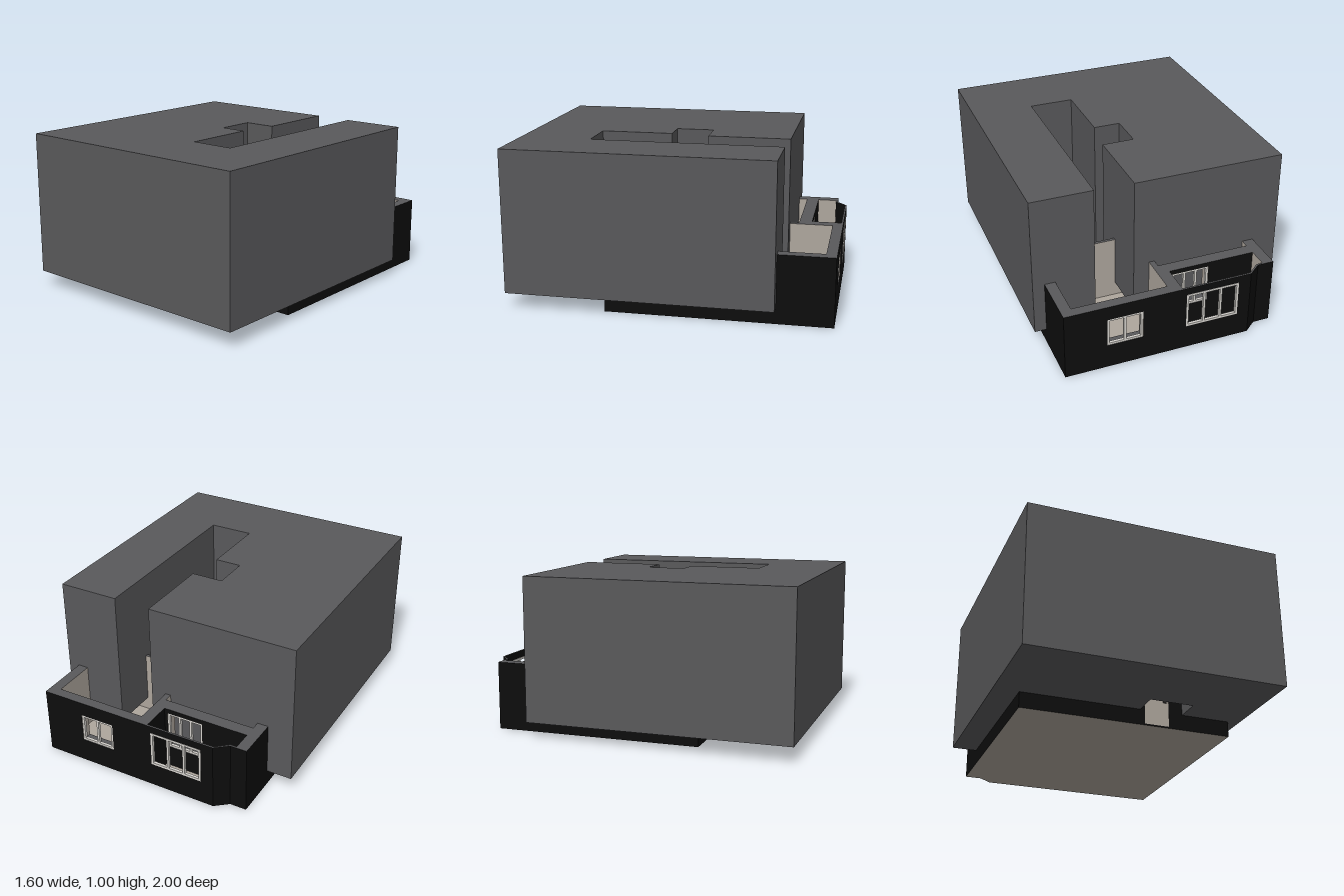
import * as THREE from 'three';
import { mergeGeometries } from 'three/addons/utils/BufferGeometryUtils.js';

const mat = (name, color) => {
  const m = new THREE.MeshStandardMaterial({ color });
  m.name = name;
  return m;
};

// Extrudes an outline of [x, z] points from y0 to y1
function prism(points, y0, y1) {
  const shape = new THREE.Shape(points.map(([x, z]) => new THREE.Vector2(x, -z)));
  return new THREE.ExtrudeGeometry(shape, { depth: y1 - y0, bevelEnabled: false })
    .rotateX(-Math.PI / 2).translate(0, y0, 0);
}

function box(x0, x1, z0, z1, y0, y1) {
  return new THREE.BoxGeometry(x1 - x0, y1 - y0, z1 - z0)
    .translate((x0 + x1) / 2, (y0 + y1) / 2, (z0 + z1) / 2);
}

export function createModel() {
  const group = new THREE.Group();
  const grey = mat('concreteGrey', 0x59595b);
  const black = mat('facadeBlack', 0x0d0d0d);
  const tan = mat('plasterTan', 0xaea69d);
  const pale = mat('tilePale', 0xc8c2bd);
  const white = mat('frameWhite', 0xd6d3ce);
  const metal = mat('handleMetal', 0x4a4744);
  const add = (name, geometry, material) => {
    const mesh = new THREE.Mesh(geometry, material);
    mesh.name = name;
    group.add(mesh);
  };

  // Large surrounding block with a stepped slot through it
  add('surroundingBlock', prism([
    [-0.8, 1], [0.8, 1], [0.8, -0.655], [0.41, -0.655], [0.41, 0.55], [0.13, 0.55],
    [0.13, 0.095], [-0.04, 0.095], [-0.04, -0.145], [0.165, -0.145], [0.165, -0.665], [-0.8, -0.665],
  ], 0.1, 1), grey);

  // Floor slab with dark edges, and the paler tiled rooms
  const F = 0.01, H = 0.43;
  add('floorSlab', prism([
    [-0.64, 0.39], [0.727, 0.39], [0.727, -1], [-0.455, -1], [-0.535, -0.935], [-0.64, -0.935],
  ], 0, F), [tan, black]);
  add('tiledFloor', box(0.365, 0.66, -0.335, 0.14, F, F + 0.004), pale);

  // Wall with one opening: along x at depth z0..z1
  const pierced = (x0, x1, z0, z1, [a, b, c, d]) => [
    box(x0, a, z0, z1, F, H), box(b, x1, z0, z1, F, H),
    box(a, b, z0, z1, d, H), ...(c > F ? [box(a, b, z0, z1, F, c)] : []),
  ];
  const bedWindow = [0.24, 0.465, 0.155, 0.34];
  const bayWindow = [-0.375, -0.035, 0.155, 0.385];
  const innerWindow = [-0.27, -0.03, 0.15, 0.4];
  const entrance = [0.16, 0.32, F, 0.34];

  const walls = [
    box(-0.64, -0.57, -0.935, 0.39, F, H),           // right outer wall
    box(0.66, 0.727, -0.935, 0.39, F, H),            // left outer wall
    ...pierced(-0.57, 0.66, 0.315, 0.39, entrance),  // front wall
    ...pierced(-0.01, 0.727, -1, -0.935, bedWindow), // back wall
    ...pierced(-0.455, -0.01, -1, -0.988, bayWindow),// thin balcony wall
    ...pierced(-0.57, -0.01, -0.8, -0.72, innerWindow),
    box(-0.01, 0.065, -0.935, -0.72, F, H),
    box(0.03, 0.065, -0.72, 0.315, F, H),            // partitions
    box(0.065, 0.66, -0.355, -0.335, F, H),
    box(0.345, 0.365, -0.335, 0.315, F, H),
    box(0.365, 0.66, -0.195, -0.175, F, H),
    box(0.365, 0.66, 0.13, 0.15, F, H),
    prism([[-0.64, -0.935], [-0.535, -0.935], [-0.455, -1], [-0.455, -0.988],
      [-0.53, -0.923], [-0.64, -0.923]], F, H),      // chamfered balcony corner
  ];

  // Sort wall faces into tops, facade and plastered interior
  const merged = mergeGeometries(walls.map((g) => (g.index ? g.toNonIndexed() : g)));
  const pos = merged.attributes.position, nor = merged.attributes.normal;
  const lists = { wallTops: [], outerWallFaces: [], innerWallFaces: [] };
  const isFacade = (x, z) => x < -0.635 || x > 0.722 || z > 0.385 || z < -0.99 || (x < -0.005 && z < -0.79);
  for (let i = 0; i < pos.count; i += 3) {
    const box3 = new THREE.Box3();
    for (let k = 0; k < 3; k++) box3.expandByPoint(new THREE.Vector3().fromBufferAttribute(pos, i + k));
    const c = box3.getCenter(new THREE.Vector3());
    const key = nor.getY(i) > 0.5 ? 'wallTops' : isFacade(c.x, c.z) ? 'outerWallFaces' : 'innerWallFaces';
    for (let k = 0; k < 3; k++) lists[key].push(pos.getX(i + k), pos.getY(i + k), pos.getZ(i + k));
  }
  const wallMats = { wallTops: grey, outerWallFaces: black, innerWallFaces: tan };
  for (const key in lists) {
    const g = new THREE.BufferGeometry();
    g.setAttribute('position', new THREE.Float32BufferAttribute(lists[key], 3));
    g.computeVertexNormals();
    add(key, g, wallMats[key]);
  }

  // Window frames: border plus mullions
  const frame = (name, [a, b, c, d], z, panes, t = 0.014) => {
    const z0 = z - 0.006, z1 = z + 0.012;
    const bars = [box(a, b, z0, z1, c, c + t), box(a, b, z0, z1, d - t, d)];
    for (let i = 0; i <= panes; i++) {
      const x = a + t / 2 + (b - a - t) * i / panes;
      bars.push(box(x - t / 2, x + t / 2, z0, z1, c + t, d - t));
    }
    add(name, mergeGeometries(bars), white);
  };
  frame('bedroomWindow', bedWindow, -0.99, 2);
  frame('balconyWindow', bayWindow, -0.996, 3);
  frame('innerWindow', innerWindow, -0.79, 3);

  // Entrance door and interior doors with handles
  add('entranceDoor', box(0.16, 0.32, 0.375, 0.388, F, 0.34), tan);
  add('entranceHandle', box(0.285, 0.305, 0.388, 0.398, 0.165, 0.175), metal);
  for (const [x0, x1, z0, z1, hz] of [
    [0.341, 0.369, -0.33, -0.205, -0.225],
    [0.341, 0.369, 0.015, 0.125, 0.035],
    [0.026, 0.069, -0.12, 0.05, 0.035],
  ]) {
    add('interiorDoor', box(x0, x1, z0, z1, F, 0.34), white);
    add('doorHandle', box(x0 - 0.01, x1 + 0.01, hz - 0.012, hz + 0.012, 0.165, 0.175), metal);
  }
  return group;
}
